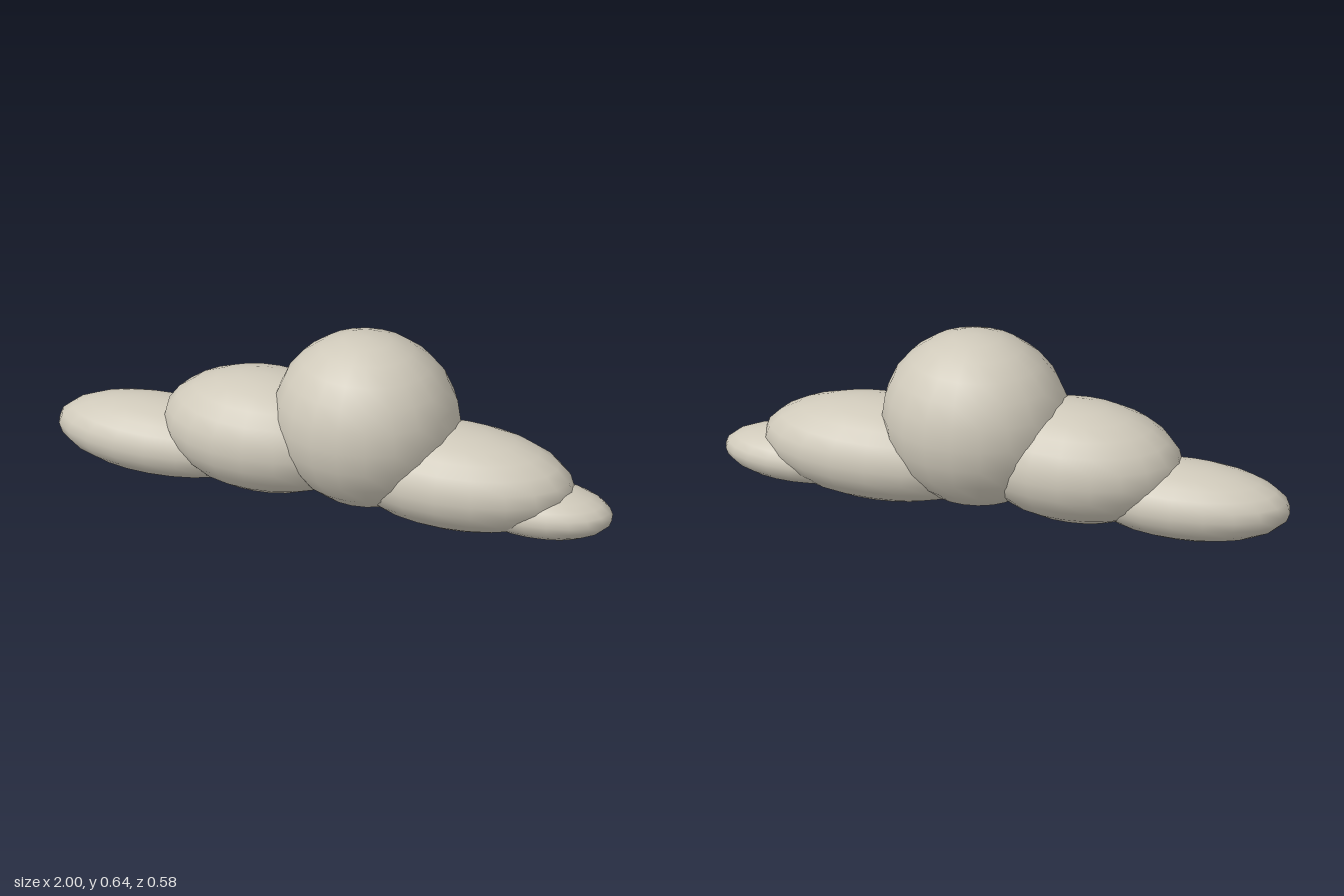
import * as THREE from 'three';

// name, centre x, centre y, radii x / y / z
const PUFFS = [
  ['rightEndPuff', -0.63, 0.135, 0.37, 0.13, 0.177],
  ['rightPuff', -0.25, 0.227, 0.365, 0.208, 0.244],
  ['centrePuff', 0.113, 0.337, 0.322, 0.308, 0.288],
  ['leftPuff', 0.44, 0.179, 0.42, 0.176, 0.222],
  ['leftEndPuff', 0.733, 0.112, 0.267, 0.092, 0.144],
];

export function createModel() {
  const cloud = new THREE.Group();
  cloud.name = 'cloud';
  const stone = new THREE.MeshStandardMaterial({ color: 0xcfc9ba });
  stone.name = 'warm grey';

  // overlapping squashed spheres in a row
  for (const [name, x, y, rx, ry, rz] of PUFFS) {
    const geometry = new THREE.SphereGeometry(1, 20, 12);
    geometry.scale(rx, ry, rz);
    const puff = new THREE.Mesh(geometry, stone);
    puff.name = name;
    puff.position.set(x, y, 0);
    cloud.add(puff);
  }
  return cloud;
}
